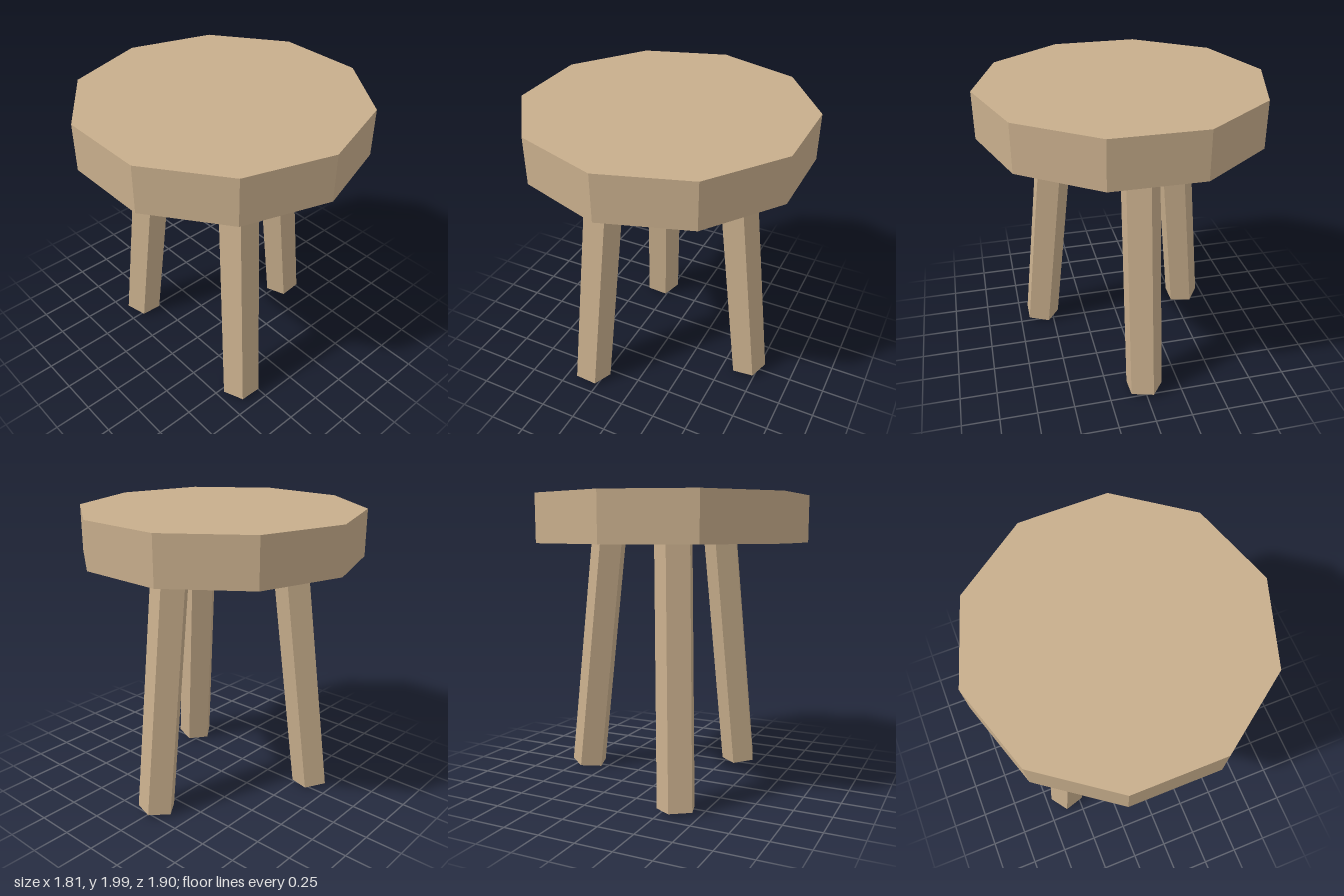
import * as THREE from 'three';

export function createModel() {
  const model = new THREE.Group();
  model.name = 'stool';
  const wood = new THREE.MeshStandardMaterial({ color: 0xc8ae8c, flatShading: true });
  wood.name = 'light wood';

  // Ten-sided seat slab
  const seat = new THREE.Mesh(new THREE.CylinderGeometry(0.95, 0.95, 0.312, 10), wood);
  seat.name = 'seat';
  seat.position.y = 1.844;
  model.add(seat);

  // Three splayed five-sided legs, all with a flat face to the front
  const legShape = new THREE.CylinderGeometry(0.13, 0.13, 1.676, 5).rotateY(Math.PI);
  const up = new THREE.Vector3(0, 1, 0);
  ['leftLeg', 'rightFrontLeg', 'rightBackLeg'].forEach((name, i) => {
    const angle = (i * Math.PI * 2) / 3;
    const at = (radius, y) => new THREE.Vector3(Math.cos(angle) * radius, y, Math.sin(angle) * radius);
    const foot = at(0.67, 0.02), top = at(0.475, 1.685);
    const leg = new THREE.Mesh(legShape, wood);
    leg.name = name;
    leg.position.copy(foot).add(top).multiplyScalar(0.5);
    leg.quaternion.setFromUnitVectors(up, top.clone().sub(foot).normalize());
    model.add(leg);
  });

  return model;
}
